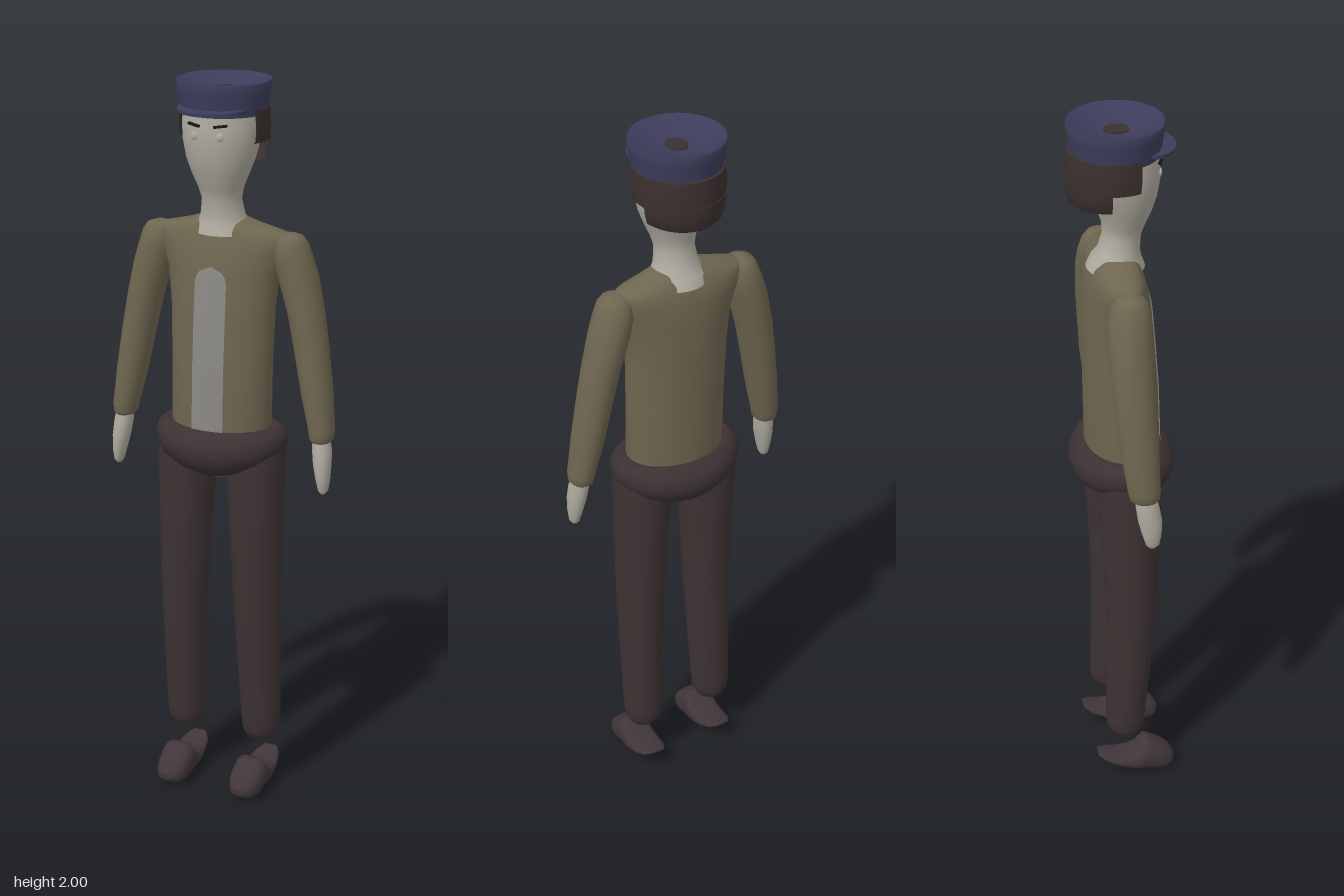
import * as THREE from 'three';
import { toCreasedNormals } from 'three/addons/utils/BufferGeometryUtils.js';

const mat = (name, color, side = THREE.FrontSide) => {
  const m = new THREE.MeshStandardMaterial({ color, side });
  m.name = name;
  return m;
};

// Rings are [height, centreX, centreZ, radiusX, radiusZ], from low to high.
// power < 1 makes the sections squarer; an arc shorter than a circle stays open.
function loft(rings, { n = 28, power = 1, start = 0, arc = Math.PI * 2 } = {}) {
  const full = arc > 6.28, cols = full ? n : n + 1;
  const pos = [], idx = [];
  const bend = v => Math.sign(v) * Math.abs(v) ** power;
  const addRing = ([y, cx, cz, rx, rz]) => {
    for (let j = 0; j < cols; j++) {
      const a = start + arc * j / n;
      pos.push(cx + rx * bend(Math.cos(a)), y, cz + rz * bend(Math.sin(a)));
    }
  };
  rings.forEach(addRing);
  for (let i = 0; i < rings.length - 1; i++) for (let j = 0; j < n; j++) {
    const a = i * cols + j, c = i * cols + (j + 1) % cols;
    idx.push(a, a + cols, c, a + cols, c + cols, c);
  }
  for (const top of [false, true]) {
    const r = top ? rings[rings.length - 1] : rings[0];
    const base = pos.length / 3;
    addRing(r);
    pos.push(r[1], r[0], r[2]);
    for (let j = 0; j < n; j++) {
      const a = base + j, b = base + (j + 1) % cols;
      idx.push(base + cols, top ? b : a, top ? a : b);
    }
  }
  const g = new THREE.BufferGeometry();
  g.setAttribute('position', new THREE.Float32BufferAttribute(pos, 3));
  g.setIndex(idx);
  g.computeVertexNormals();
  return g;
}

// Depth of the front surface of a loft at (x, y)
function frontZ(rings, x, y) {
  let i = 0;
  while (i < rings.length - 2 && rings[i + 1][0] < y) i++;
  const t = (y - rings[i][0]) / (rings[i + 1][0] - rings[i][0]);
  const [, , cz, rx, rz] = rings[i].map((v, k) => v + (rings[i + 1][k] - v) * t);
  return cz + rz * Math.sqrt(Math.max(0, 1 - (x / rx) ** 2));
}

export function createModel() {
  const skin = mat('skin', 0xaeaa9f), cloth = mat('olive cloth', 0x6e6650);
  const shirt = mat('grey shirt', 0x8a8883, THREE.DoubleSide);
  const trousers = mat('dark trousers', 0x3d3233), leather = mat('brown leather', 0x41363a);
  const hairMat = mat('dark hair', 0x3b302f, THREE.DoubleSide);
  const blue = mat('navy blue', 0x3d3d5c), black = mat('black', 0x17151a);
  const model = new THREE.Group();
  const add = (name, geometry, material) => {
    const m = new THREE.Mesh(geometry, material);
    m.name = name;
    model.add(m);
    return m;
  };

  // Jacket body
  const torso = [
    [0.93, 0, 0, 0.05, 0.05], [0.95, 0, 0, 0.085, 0.075], [1.0, 0, 0, 0.125, 0.095],
    [1.08, 0, 0, 0.14, 0.1], [1.25, 0, -0.004, 0.141, 0.098], [1.4, 0, -0.01, 0.146, 0.092],
    [1.5, 0, -0.014, 0.157, 0.086], [1.56, 0, -0.018, 0.182, 0.078], [1.59, 0, -0.018, 0.196, 0.068],
    [1.608, 0, -0.018, 0.182, 0.062], [1.625, 0, -0.016, 0.11, 0.054], [1.64, 0, -0.014, 0.062, 0.045],
  ];
  add('jacket', loft(torso, { n: 40 }), cloth);

  // Shirt front with a round top, lying on the jacket
  const strip = new THREE.PlaneGeometry(2, 1, 8, 36), p = strip.attributes.position;
  for (let i = 0; i < p.count; i++) {
    const y = 1.06 + (p.getY(i) + 0.5) * 0.46;
    const w = 0.045 * Math.sqrt(Math.max(0, 1 - (Math.max(0, y - 1.475) / 0.045) ** 2));
    const x = p.getX(i) * w;
    p.setXYZ(i, x, y, frontZ(torso, x, y) + 0.003);
  }
  strip.computeVertexNormals();
  add('shirtFront', strip, shirt);

  // Waist roll
  add('waist', loft([
    [0.945, 0, 0.0, 0.07, 0.085], [0.965, 0, 0, 0.13, 0.115], [0.99, 0, 0, 0.165, 0.135],
    [1.02, 0, 0, 0.182, 0.143], [1.045, 0, 0, 0.185, 0.136], [1.065, 0, 0, 0.18, 0.12],
    [1.077, 0, 0, 0.165, 0.103],
  ], { n: 40 }), trousers);

  for (const s of [1, -1]) {
    const side = s > 0 ? 'left' : 'right';
    const mirror = rings => rings.map(([y, x, ...rest]) => [y, x * s, ...rest]);

    add(side + 'Leg', loft(mirror([
      [0.143, 0.115, -0.012, 0.022, 0.022], [0.152, 0.115, -0.012, 0.04, 0.042],
      [0.175, 0.115, -0.013, 0.052, 0.053], [0.21, 0.115, -0.013, 0.055, 0.056],
      [0.4, 0.112, -0.002, 0.06, 0.063], [0.6, 0.109, 0.006, 0.066, 0.072],
      [0.8, 0.105, 0.004, 0.073, 0.08], [0.95, 0.102, 0, 0.079, 0.088], [1.04, 0.1, 0, 0.08, 0.085],
    ])), trousers);

    add(side + 'Sleeve', loft(mirror([
      [1.06, 0.29, 0.002, 0.026, 0.032], [1.068, 0.29, 0, 0.032, 0.04], [1.09, 0.289, -0.002, 0.035, 0.043],
      [1.2, 0.27, -0.01, 0.043, 0.05], [1.3, 0.253, -0.015, 0.046, 0.053], [1.4, 0.234, -0.02, 0.049, 0.056],
      [1.5, 0.208, -0.022, 0.054, 0.058], [1.55, 0.194, -0.02, 0.052, 0.056],
      [1.585, 0.188, -0.018, 0.046, 0.048], [1.603, 0.188, -0.018, 0.034, 0.034], [1.61, 0.188, -0.018, 0.015, 0.015],
    ])), cloth);

    add(side + 'Hand', loft(mirror([
      [0.918, 0.304, 0.018, 0.006, 0.008], [0.928, 0.304, 0.018, 0.013, 0.018],
      [0.96, 0.302, 0.016, 0.019, 0.026], [1.0, 0.298, 0.012, 0.024, 0.032],
      [1.04, 0.294, 0.006, 0.026, 0.031], [1.075, 0.29, 0.002, 0.023, 0.028],
    ]), { n: 18 }), skin);

    // Shoe, lofted from heel tab to toe and turned to face forward
    const shoe = loft([
      [-0.093, 0, -0.073, 0.02, 0.003], [-0.07, 0, -0.06, 0.036, 0.011], [-0.035, 0, -0.047, 0.044, 0.015],
      [0, 0, -0.042, 0.047, 0.023], [0.025, 0, -0.044, 0.048, 0.034], [0.045, 0, -0.056, 0.048, 0.05],
      [0.06, 0, -0.051, 0.048, 0.049], [0.085, 0, -0.042, 0.047, 0.042], [0.108, 0, -0.035, 0.041, 0.032],
      [0.122, 0, -0.031, 0.031, 0.021], [0.13, 0, -0.03, 0.014, 0.009],
    ], { n: 20, power: 0.75 });
    add(side + 'Shoe', shoe.rotateX(Math.PI / 2).translate(s * 0.112, 0, 0), leather);
  }

  // Head and neck, flaring over the collar
  const head = [
    [1.6, 0, -0.016, 0.08, 0.076], [1.625, 0, -0.015, 0.072, 0.066], [1.645, 0, -0.008, 0.06, 0.055],
    [1.69, 0, 0, 0.053, 0.05], [1.72, 0, 0.005, 0.06, 0.056], [1.76, 0, 0.008, 0.077, 0.07],
    [1.8, 0, 0.006, 0.092, 0.084], [1.85, 0, 0, 0.103, 0.098], [1.89, 0, -0.004, 0.106, 0.1],
    [1.93, 0, -0.008, 0.104, 0.1],
  ];
  add('headAndNeck', loft(head, { n: 36 }), skin);

  // Hair: a band reaching the temples and a longer back
  const arcAround = half => ({ n: 30, start: -Math.PI / 2 - half, arc: half * 2 });
  add('hairSides', loft([
    [1.845, 0, -0.02, 0.115, 0.12], [1.88, 0, -0.02, 0.119, 0.124], [1.93, 0, -0.018, 0.116, 0.122],
  ], arcAround(1.98)), hairMat);
  add('hairBack', loft([
    [1.79, 0, -0.02, 0.095, 0.108], [1.8, 0, -0.02, 0.108, 0.118], [1.83, 0, -0.02, 0.116, 0.123],
    [1.86, 0, -0.02, 0.118, 0.124],
  ], arcAround(1.36)), hairMat);

  // Eyes and brows
  for (const s of [1, -1]) {
    const eye = add('eye', new THREE.SphereGeometry(0.011, 16, 10), skin);
    eye.position.set(s * 0.035, 1.867, frontZ(head, 0.035, 1.867));
    eye.scale.z = 0.4;
    const brow = add('brow', new THREE.BoxGeometry(0.036, 0.006, 0.009), black);
    brow.position.set(s * 0.037, 1.895, frontZ(head, 0.037, 1.895) + 0.002);
    brow.rotation.set(0, s * 0.33, s * 0.12);
  }

  // Cap with a dished top, a small crown patch and a visor
  const profile = [[0, 1.915], [0.113, 1.915], [0.117, 1.94], [0.121, 1.97], [0.125, 1.995],
    [0.123, 2], [0.115, 1.996], [0.07, 1.98], [0, 1.97]];
  const cap = new THREE.LatheGeometry(profile.map(q => new THREE.Vector2(...q)), 40);
  add('cap', toCreasedNormals(cap, 0.7).translate(0, 0, -0.015), blue);
  const patch = add('crownPatch', new THREE.CylinderGeometry(0.027, 0.027, 0.008, 24), hairMat);
  patch.position.set(0, 1.974, -0.013);
  patch.scale.z = 1.2;
  const outline = new THREE.Shape().absellipse(0, 0, 0.092, 0.075, 0, Math.PI * 2);
  const visor = add('visor', new THREE.ExtrudeGeometry(outline, { depth: 0.009, bevelEnabled: false, curveSegments: 32 })
    .rotateX(Math.PI / 2), blue);
  visor.position.set(0, 1.937, 0.062);
  visor.rotation.x = 0.06;

  return model;
}
